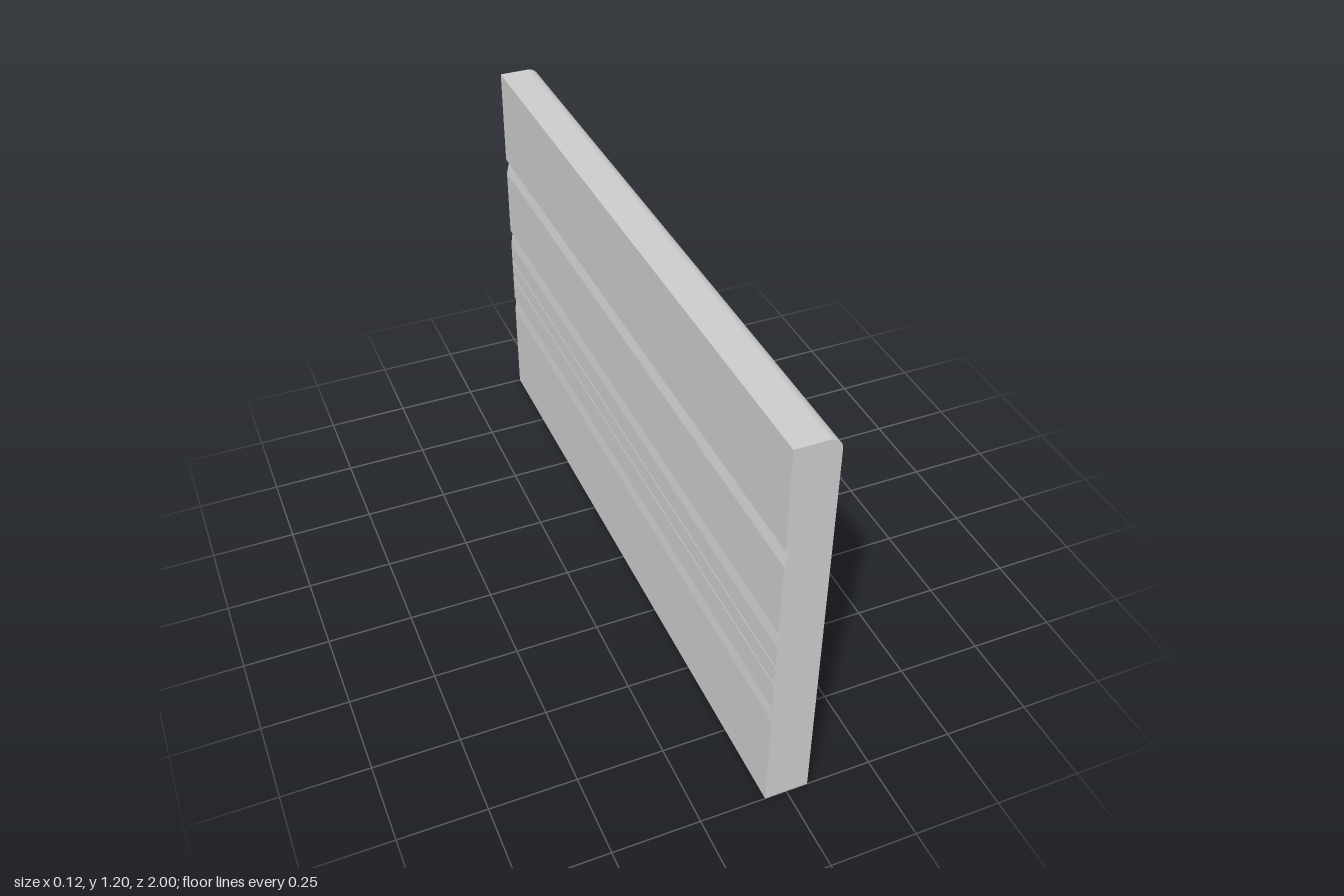
import * as THREE from 'three';
import { toCreasedNormals } from 'three/addons/utils/BufferGeometryUtils.js';

const LENGTH = 2, HEIGHT = 1.2, HALF = 0.0625, ROUND = 0.036;

// Long grooves on the -x face: [top y, depth]
const grooves = [[0.36, 0.005], [0.63, 0.007], [0.9, 0.011]];
// Hairline slits between the two lower grooves
const slits = [0.445, 0.508];

function createProfile() {
  const s = new THREE.Shape();
  s.moveTo(-HALF, 0);
  s.lineTo(HALF, 0);
  // rounded upper edge
  s.lineTo(HALF, HEIGHT - ROUND);
  s.absarc(HALF - ROUND, HEIGHT - ROUND, ROUND, 0, Math.PI / 2, false);
  s.lineTo(-HALF, HEIGHT);

  // each notch is listed from its upper corner to its lower corner
  const notches = [
    ...grooves.map(([y, d]) => [[-HALF, y], [-HALF + d, y - 0.005], [-HALF, y - 0.05]]),
    ...slits.map(y => [[-HALF, y + 0.0015], [-HALF + 0.002, y], [-HALF, y - 0.0015]]),
  ].sort((a, b) => b[0][1] - a[0][1]);
  for (const notch of notches) for (const [x, y] of notch) s.lineTo(x, y);

  s.closePath();
  return s;
}

export function createModel() {
  const group = new THREE.Group();
  group.name = 'skirtingBoard';

  // Constant section swept along z
  const solid = new THREE.ExtrudeGeometry(createProfile(), {
    depth: LENGTH, bevelEnabled: false, curveSegments: 24,
  });
  solid.translate(0, 0, -LENGTH / 2);

  const board = new THREE.Mesh(
    toCreasedNormals(solid, 0.08),
    new THREE.MeshStandardMaterial({ color: 0xcccccc }),
  );
  board.name = 'groovedBoard';
  group.add(board);
  return group;
}
